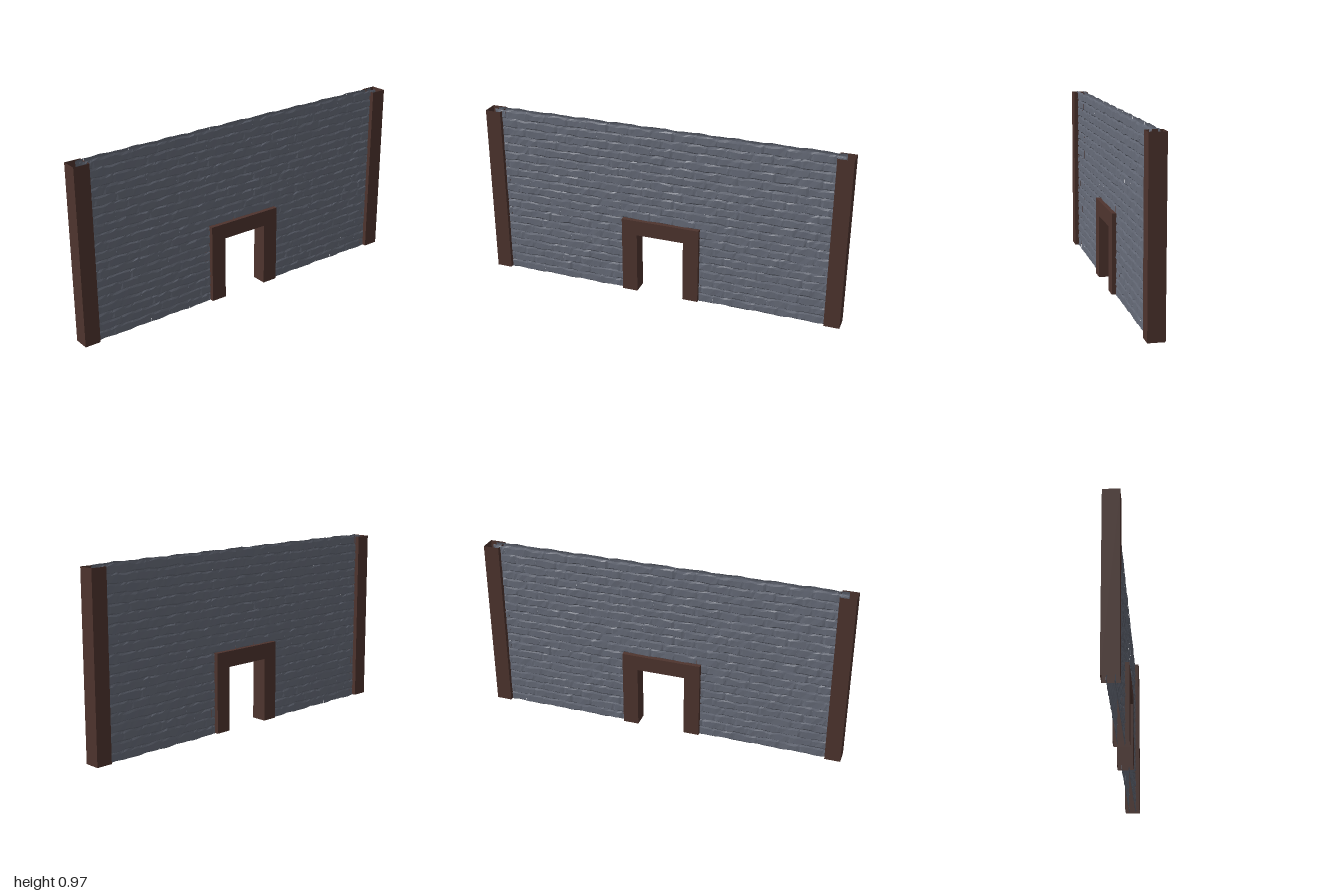
import * as THREE from 'three';

const wood = new THREE.MeshStandardMaterial({ color: 0x4e342e, side: THREE.DoubleSide });
wood.name = 'dark wood';
const stone = new THREE.MeshStandardMaterial({ color: 0x656a77, flatShading: true, side: THREE.DoubleSide });
stone.name = 'slate brick';

// Hollow timber: a box keeping only the listed faces (0..5 = +x -x +y -y +z -z)
function timber(name, y0, y1, z0, z1, faces) {
  const g = new THREE.BoxGeometry(0.086, y1 - y0, z1 - z0);
  const all = Array.from(g.index.array);
  g.setIndex(faces.flatMap(f => all.slice(f * 6, f * 6 + 6)));
  g.clearGroups();
  g.translate(0, (y0 + y1) / 2, (z0 + z1) / 2);
  const m = new THREE.Mesh(g, wood);
  m.name = name;
  return m;
}

// One face of the wall: rows of rough bricks facing +x
function brickSheet(seed) {
  const rand = () => {
    seed = (seed * 16807) % 2147483647;
    return seed / 2147483647;
  };
  const jitter = a => (rand() - 0.5) * 2 * a;
  const ROWS = 20, H = 0.0484, LEN = 0.12, END = 0.955, GAP = 0.175, COLS = 6;
  const pos = [], index = [];

  // Height of the wavy joint below a given row
  const joint = (row, z) =>
    0.0045 + row * H + 0.002 * Math.sin(z * 31 + row * 2.3) + 0.0015 * Math.sin(z * 67 + row * 4.1);

  // Brick from a grid of points: sharp lower edge, gentle top and ends
  const addBrick = (row, zA, zB) => {
    const start = pos.length / 3;
    const inset = Math.min(0.014, (zA - zB) * 0.2);
    const tilt = jitter(0.0015);
    const endDepth = [0.0195 + jitter(0.0015), 0.0195 + jitter(0.0015)];
    for (let c = 0; c < COLS; c++) {
      const endCol = c === 0 || c === COLS - 1;
      const t = (c - 1) / (COLS - 3);
      const z = c === 0 ? zA : c === COLS - 1 ? zB
        : zA - inset - t * (zA - zB - 2 * inset);
      const y0 = joint(row, z), y1 = joint(row + 1, z);
      const ys = [y0, y0 + 0.005 + jitter(0.003), y1 - 0.011 + jitter(0.004), y1];
      for (let r = 0; r < 4; r++) {
        const x = r === 0 || r === 3 ? 0.0165
          : endCol ? endDepth[c ? 1 : 0]
            : 0.0215 + tilt * (2 * t - 1) + jitter(0.0012) - (r === 2 ? 0.0015 : 0);
        pos.push(x, ys[r], z);
      }
    }
    for (let c = 0; c < COLS - 1; c++) {
      for (let r = 0; r < 3; r++) {
        const a = start + c * 4 + r, b = a + 4;
        index.push(a, b, b + 1, a, b + 1, a + 1);
      }
    }
  };

  // Rows in running bond, split around the doorway
  for (let row = 0; row < ROWS; row++) {
    const spans = row < 8 ? [[END, GAP], [-GAP, -END]] : [[END, -END]];
    for (const [from, to] of spans) {
      let z = from;
      let next = from - LEN * (row % 2 ? 0.5 : 1);
      while (z > to + 1e-6) {
        let e = next + jitter(0.008);
        if (e < to + 0.025) e = to;
        addBrick(row, z, e);
        z = e;
        next -= LEN;
      }
    }
  }
  const g = new THREE.BufferGeometry();
  g.setAttribute('position', new THREE.Float32BufferAttribute(pos, 3));
  g.setIndex(index);
  g.computeVertexNormals();
  return g;
}

export function createModel() {
  const model = new THREE.Group();
  model.name = 'brickWallWithDoorway';

  // Two outward-facing brick sheets
  const sheet = brickSheet(1234);
  const left = new THREE.Mesh(sheet, stone);
  left.name = 'leftBrickFace';
  const right = new THREE.Mesh(sheet, stone);
  right.name = 'rightBrickFace';
  right.rotation.y = Math.PI;
  model.add(left, right);

  // End posts, open at top and bottom
  const sides = [0, 1, 4, 5];
  model.add(timber('frontPost', 0.01, 0.965, 0.915, 1, sides));
  model.add(timber('backPost', 0.01, 0.965, -1, -0.915, sides));

  // Door frame: hollow jambs open below, joined by a lintel
  const frame = new THREE.Group();
  frame.name = 'doorFrame';
  frame.add(timber('frontJamb', 0.01, 0.443, 0.132, 0.218, [0, 1, 2, 4, 5]));
  frame.add(timber('backJamb', 0.01, 0.443, -0.218, -0.132, [0, 1, 2, 4, 5]));
  frame.add(timber('lintel', 0.358, 0.443, -0.132, 0.132, [0, 1, 2, 3]));
  model.add(frame);
  return model;
}
